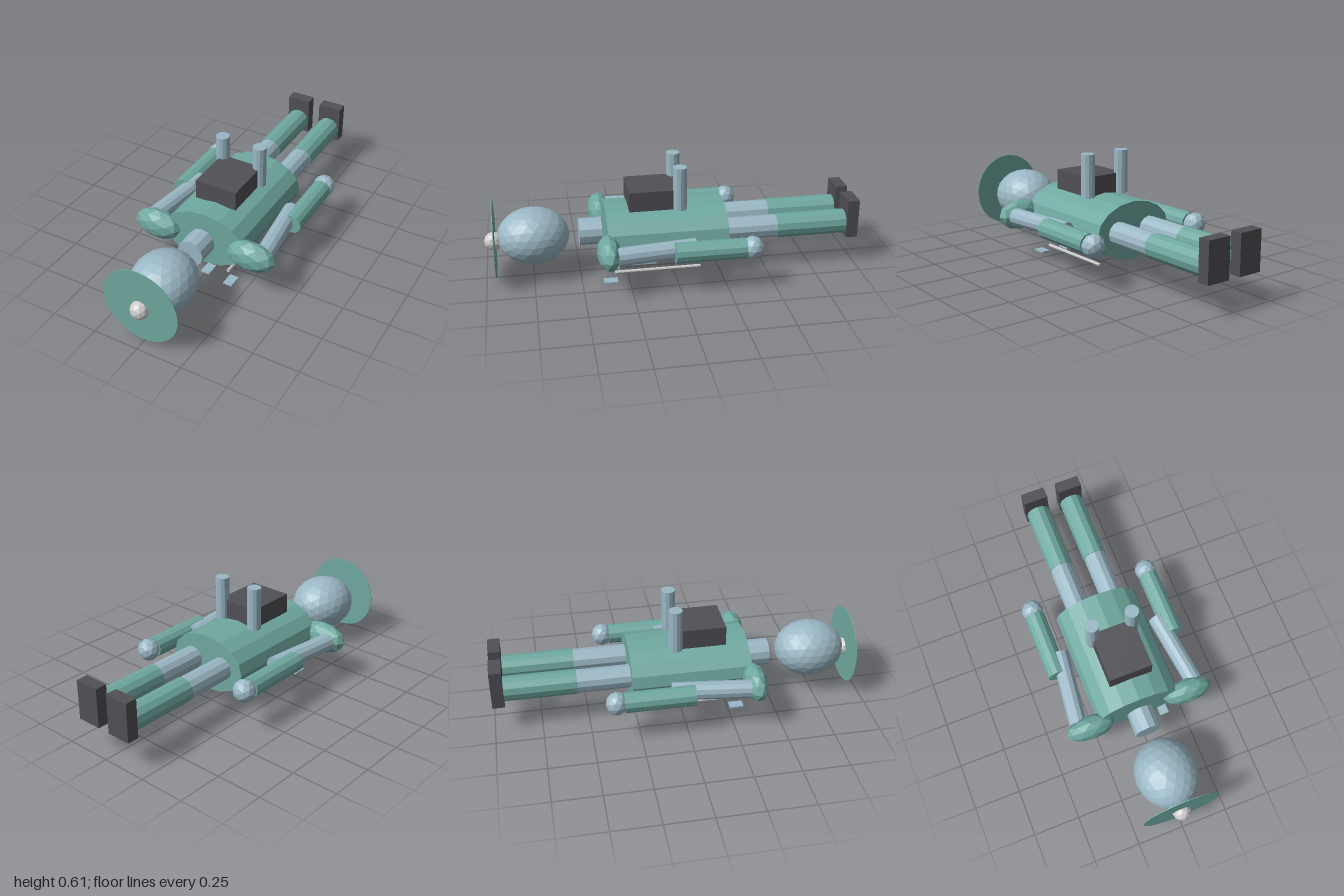
import * as THREE from 'three';

const paint = (color) => new THREE.MeshStandardMaterial({ color, flatShading: true, side: THREE.DoubleSide });

export function createModel() {
  const group = new THREE.Group();
  const teal = paint(0x6fa8a0), blue = paint(0x9bb8c6), dark = paint(0x505055), grey = paint(0xcccccc);

  function add(name, geometry, material, x, y, z) {
    const mesh = new THREE.Mesh(geometry, material);
    mesh.name = name;
    mesh.position.set(x, y, z);
    group.add(mesh);
    return mesh;
  }
  const box = (name, mat, w, h, d, x, y, z) => add(name, new THREE.BoxGeometry(w, h, d), mat, x, y, z);

  // faceted ball with separate radii
  const ball = (name, mat, detail, rx, ry, rz, x, y, z) =>
    add(name, new THREE.IcosahedronGeometry(1, detail).scale(rx, ry, rz), mat, x, y, z);

  // cylinder between two points
  function rod(name, mat, r, a, b, sides = 12) {
    const from = new THREE.Vector3(...a), to = new THREE.Vector3(...b);
    const dir = to.clone().sub(from);
    const mid = from.clone().add(to).multiplyScalar(0.5);
    const mesh = add(name, new THREE.CylinderGeometry(r, r, dir.length(), sides), mat, mid.x, mid.y, mid.z);
    mesh.quaternion.setFromUnitVectors(new THREE.Vector3(0, 1, 0), dir.normalize());
    return mesh;
  }

  const axis = 0.235; // height of the body's centre line

  // head, visor disc and knob
  ball('head', blue, 3, 0.167, 0.15, 0.19, 0, axis, 0.74);
  rod('visorDisc', teal, 0.21, [0, 0.233, 0.943], [0, 0.233, 0.947], 32);
  ball('visorKnob', grey, 1, 0.05, 0.05, 0.05, 0, 0.217, 0.95);
  rod('neck', blue, 0.073, [0, axis, 0.38], [0, axis, 0.5]);

  // oval torso lying along z
  const torso = new THREE.CylinderGeometry(1, 1, 0.636, 16).rotateX(Math.PI / 2).scale(0.233, 0.155, 1);
  add('torso', torso, teal, 0, axis, 0.045);

  // backpack
  box('backpack', dark, 0.236, 0.107, 0.273, 0, 0.4335, 0.104);

  for (const s of [1, -1]) {
    const side = s > 0 ? 'left' : 'right';
    rod(side + 'Thruster', blue, 0.037, [s * 0.11, 0.38, -0.028], [s * 0.11, 0.613, -0.028]);

    // arm
    ball(side + 'Shoulder', teal, 1, 0.137, 0.085, 0.063, s * 0.278, 0.234, 0.367);
    rod(side + 'UpperArm', blue, 0.048, [s * 0.333, axis, 0.33], [s * 0.285, axis, -0.08]);
    rod(side + 'Forearm', teal, 0.054, [s * 0.338, axis, 0.035], [s * 0.338, axis, -0.335]);
    ball(side + 'Hand', blue, 1, 0.061, 0.061, 0.058, s * 0.338, axis, -0.372);

    // leg
    rod(side + 'Thigh', blue, 0.062, [s * 0.101, axis, -0.2], [s * 0.101, axis, -0.56]);
    rod(side + 'Shin', teal, 0.066, [s * 0.101, axis, -0.555], [s * 0.101, axis, -0.94]);
    box(side + 'Boot', dark, 0.135, 0.213, 0.064, s * 0.102, 0.27, -0.968);

    // rail below the body
    rod(side + 'Rail', grey, 0.009, [s * 0.118, 0.036, 0.323], [s * 0.118, 0.036, -0.14], 8);
  }

  // plate under the chest and three stepped tiles on the ground
  box('chestPlate', blue, 0.15, 0.015, 0.135, 0, 0.053, 0.16);
  for (const i of [-1, 0, 1]) {
    box('groundTile', blue, 0.051, 0.009, 0.075, i * 0.151, 0.0045, 0.325 + i * 0.025);
  }
  return group;
}
